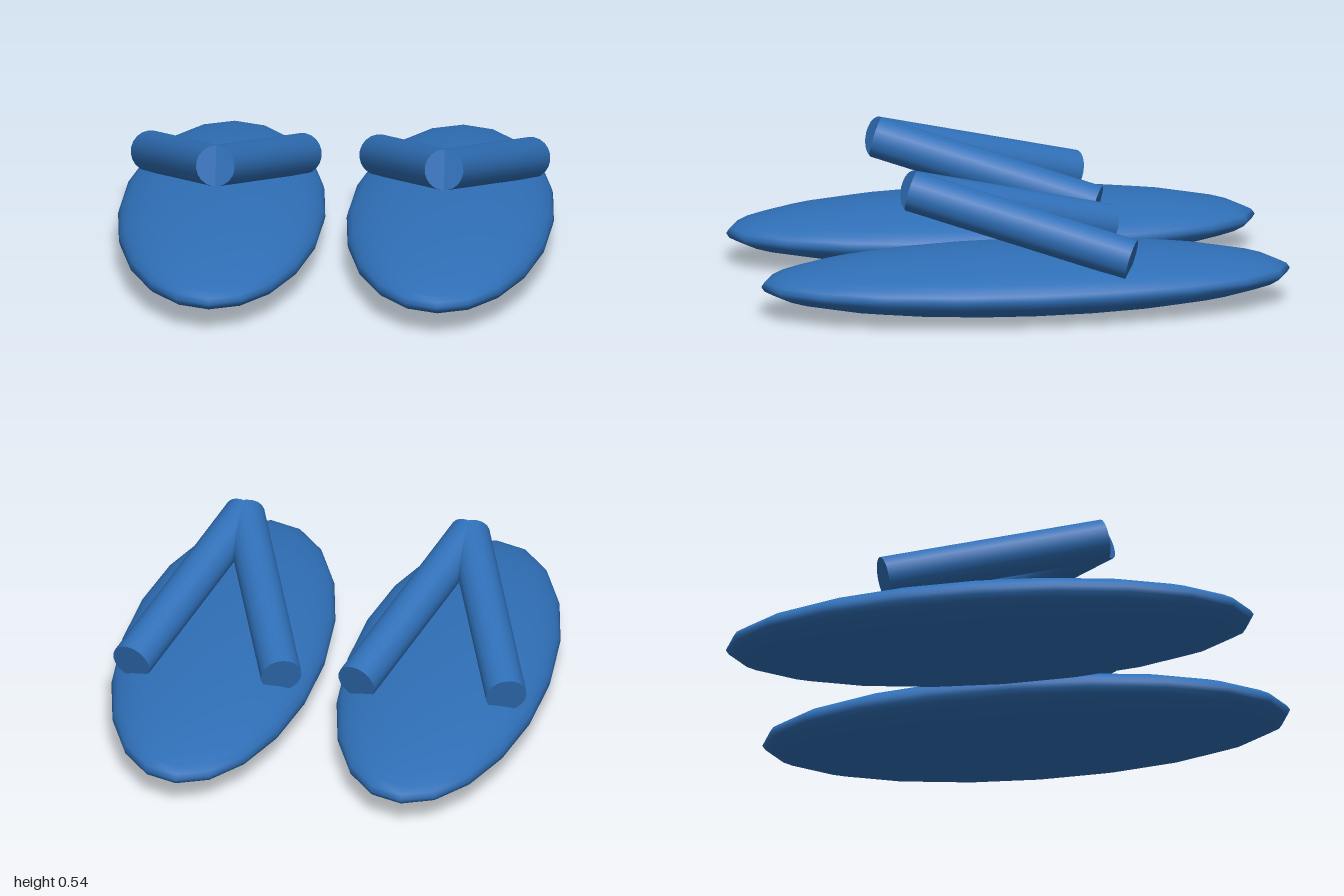
import * as THREE from 'three';

const blue = new THREE.MeshStandardMaterial({ color: 0x2f6fb7 });

// Straight round bar between two points
function bar(name, from, to, radius) {
  const dir = to.clone().sub(from);
  const mesh = new THREE.Mesh(new THREE.CylinderGeometry(radius, radius, dir.length(), 20), blue);
  mesh.name = name;
  mesh.position.copy(from).addScaledVector(dir, 0.5);
  mesh.quaternion.setFromUnitVectors(new THREE.Vector3(0, 1, 0), dir.normalize());
  return mesh;
}

function sandal(name, x) {
  const group = new THREE.Group();
  group.name = name;
  group.position.x = x;

  // Flattened ellipsoid sole
  const geometry = new THREE.SphereGeometry(1, 20, 20);
  geometry.scale(0.388, 0.1175, 1);
  const sole = new THREE.Mesh(geometry, blue);
  sole.name = 'sole';
  sole.position.y = 0.1175;
  group.add(sole);

  // V-shaped strap: two bars meeting above the front of the sole
  const toe = new THREE.Vector3(0, 0.467, 0.433);
  for (const [side, s] of [['left', 1], ['right', -1]]) {
    group.add(bar(side + 'Strap', toe, new THREE.Vector3(s * 0.285, 0.24, -0.357), 0.077));
  }
  return group;
}

export function createModel() {
  const model = new THREE.Group();
  model.name = 'sandals';
  model.add(sandal('leftSandal', 0.428), sandal('rightSandal', -0.428));
  return model;
}
